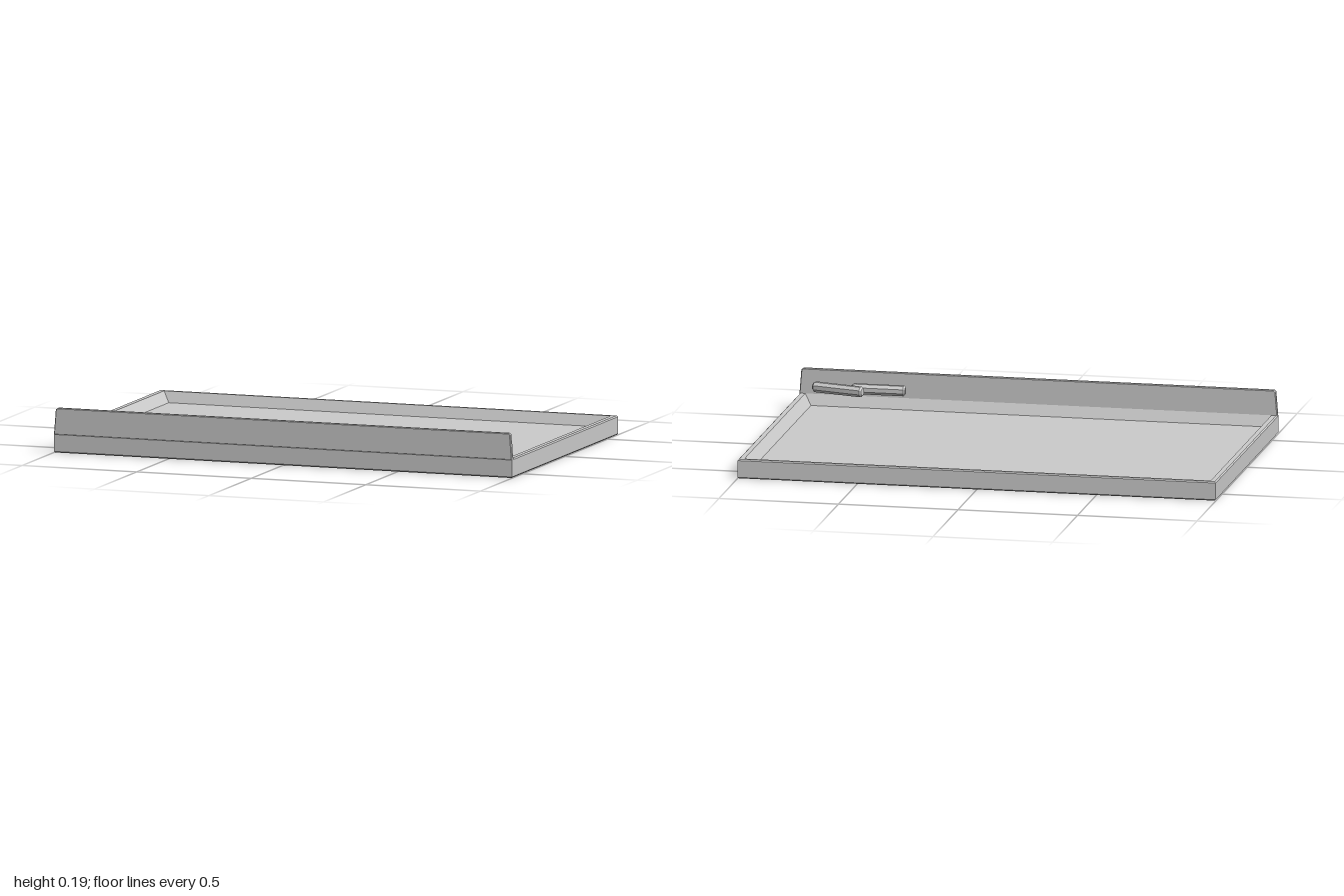
import * as THREE from 'three';

const material = new THREE.MeshStandardMaterial({ color: 0xcccccc, flatShading: true, side: THREE.DoubleSide });

function addMesh(group, name, geometry) {
  const mesh = new THREE.Mesh(geometry, material);
  mesh.name = name;
  group.add(mesh);
  return mesh;
}

// Skin rectangular sections [halfX, halfZ, y] into a faceted solid
function rectLoft(sections) {
  const corners = [[1, 1], [1, -1], [-1, -1], [-1, 1]];
  const point = (s, i) => [corners[i % 4][0] * s[0], s[2], corners[i % 4][1] * s[1]];
  const positions = [];
  for (let k = 0; k < sections.length - 1; k++) {
    const low = sections[k], high = sections[k + 1];
    for (let i = 0; i < 4; i++) {
      const a = point(low, i), b = point(low, i + 1), c = point(high, i + 1), d = point(high, i);
      if (low[0] > 0) positions.push(...a, ...b, ...c);
      if (high[0] > 0) positions.push(...a, ...c, ...d);
      // closing triangles meet at the centre point
      if (low[0] === 0) positions.push(...a, ...c, ...d);
      if (high[0] === 0) positions.push(...a, ...b, ...c);
    }
  }
  // drop zero-area repeats left by the centre points
  const clean = [];
  const p = (o) => new THREE.Vector3().fromArray(positions, o);
  for (let o = 0; o < positions.length; o += 9) {
    const tri = new THREE.Triangle(p(o), p(o + 3), p(o + 6));
    if (tri.getArea() > 1e-9) clean.push(...positions.slice(o, o + 9));
  }
  const geometry = new THREE.BufferGeometry();
  geometry.setAttribute('position', new THREE.Float32BufferAttribute(clean, 3));
  geometry.computeVertexNormals();
  return geometry;
}

export function createModel() {
  const group = new THREE.Group();

  // Backing, outer frame walls, chamfered rim, and slope down to the panel
  addMesh(group, 'frame', rectLoft([
    [0, 0, 0], [0.995, 0.622, 0], [1, 0.627, 0.005], [1, 0.627, 0.075],
    [0.995, 0.622, 0.08], [0.975, 0.607, 0.08], [0.947, 0.587, 0.035],
  ]));
  addMesh(group, 'boardPanel', rectLoft([[0.947, 0.587, 0.035], [0, 0, 0.035]]));

  // Upright lip along the front edge, slightly tapered, with clipped top corners
  const lip = new THREE.Shape();
  [[-0.997, 0.077], [0.997, 0.077], [0.989, 0.177], [0.983, 0.182], [-0.983, 0.182], [-0.989, 0.177]]
    .forEach(([x, y], i) => (i ? lip.lineTo(x, y) : lip.moveTo(x, y)));
  const lipGeometry = new THREE.ExtrudeGeometry(lip, {
    depth: 0.014, bevelEnabled: true, bevelSize: 0.003, bevelThickness: 0.003, bevelSegments: 1,
  });
  addMesh(group, 'ledgeLip', lipGeometry).position.z = 0.61;

  // Two faceted chalk sticks with chamfered ends
  const r = 0.0225, half = 0.112, chamfer = 0.007;
  const profile = [
    [0, -half], [r - chamfer, -half], [r, -half + chamfer],
    [r, half - chamfer], [r - chamfer, half], [0, half],
  ].map(([x, y]) => new THREE.Vector2(x, y));
  const chalkGeometry = new THREE.LatheGeometry(profile, 8);
  chalkGeometry.rotateY(Math.PI / 8).rotateZ(Math.PI / 2);
  [[0.658, 0.56, 0], [0.822, 0.533, -0.26]].forEach(([x, z, turn], i) => {
    const chalk = addMesh(group, `chalkStick${i + 1}`, chalkGeometry);
    chalk.position.set(x, 0.121, z);
    chalk.rotation.y = turn;
  });

  return group;
}
